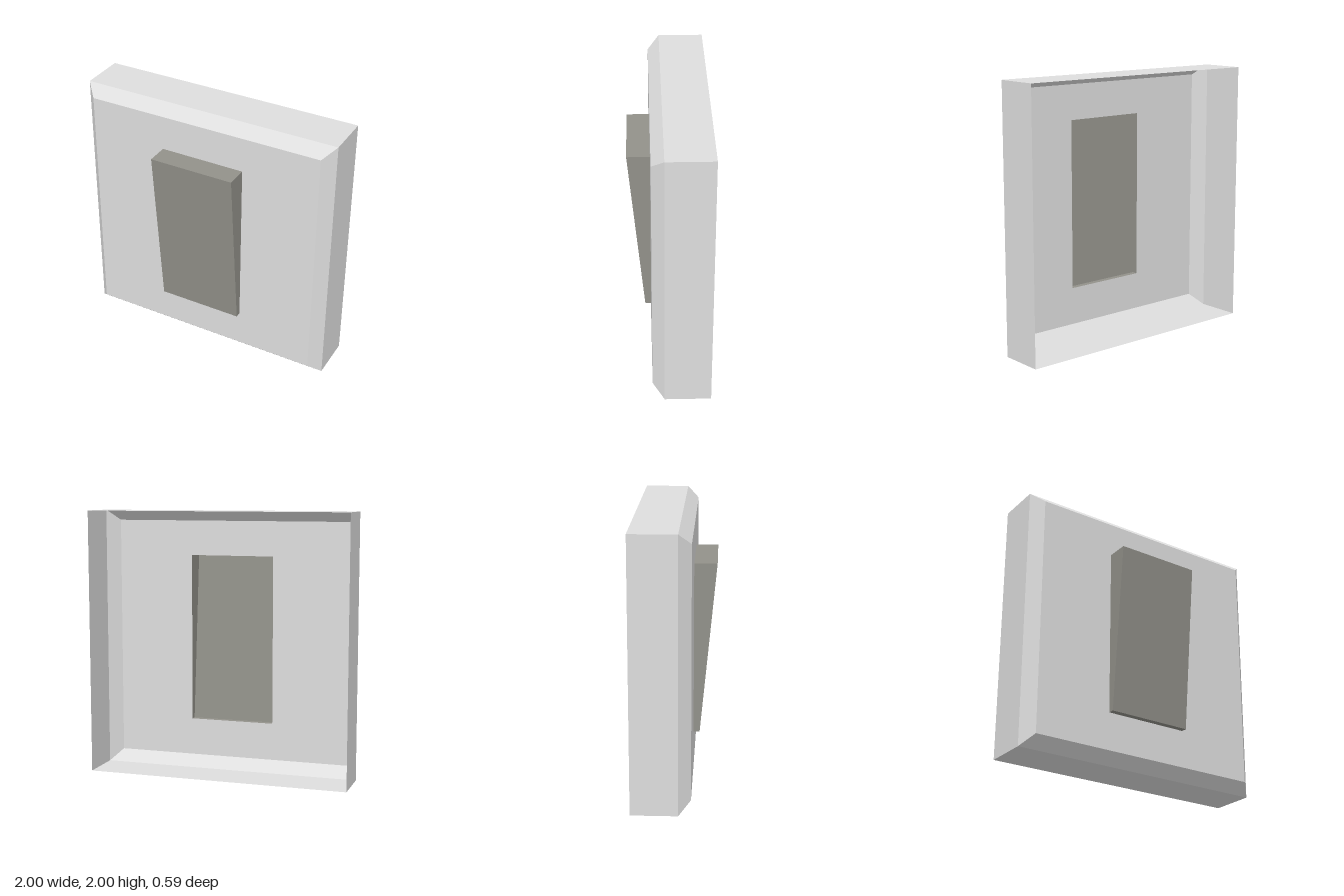
import * as THREE from 'three';

// Rectangular cross-section, anticlockwise from the front; zTop lets it lean
function ring(halfW, y0, y1, zBottom, zTop = zBottom) {
  return [
    [-halfW, y0, zBottom], [halfW, y0, zBottom],
    [halfW, y1, zTop], [-halfW, y1, zTop],
  ];
}

// Flat-faced skin between successive rings, with an optional front cap
function loft(rings, cap) {
  const pos = [];
  const quad = (a, b, c, d) => pos.push(...a, ...b, ...c, ...a, ...c, ...d);
  for (let r = 0; r < rings.length - 1; r++) {
    for (let i = 0; i < 4; i++) {
      const j = (i + 1) % 4;
      quad(rings[r][i], rings[r][j], rings[r + 1][j], rings[r + 1][i]);
    }
  }
  if (cap) quad(...rings[rings.length - 1]);
  const geo = new THREE.BufferGeometry();
  geo.setAttribute('position', new THREE.Float32BufferAttribute(pos, 3));
  geo.computeVertexNormals();
  return geo;
}

export function createModel() {
  const plateGrey = new THREE.MeshStandardMaterial({ color: 0xdedede, side: THREE.DoubleSide });
  plateGrey.name = 'light grey';
  const rockerGrey = new THREE.MeshStandardMaterial({ color: 0x92918a, side: THREE.DoubleSide });
  rockerGrey.name = 'warm grey';

  const group = new THREE.Group();
  group.name = 'wallSwitch';
  const add = (name, geo, mat) => {
    const mesh = new THREE.Mesh(geo, mat);
    mesh.name = name;
    group.add(mesh);
  };

  // Open-backed housing: side walls, bevel, and front face with an opening
  const opening = ring(0.325, 0.37, 1.655, 0.13);
  add('housing', loft([
    ring(1, 0, 2, -0.297),
    ring(1, 0, 2, 0.043),
    ring(0.915, 0.085, 1.92, 0.13),
    opening,
  ], false), plateGrey);

  // Tilted hollow rocker, standing out furthest at the top
  add('rocker', loft([opening, ring(0.325, 0.37, 1.655, 0.175, 0.297)], true), rockerGrey);

  return group;
}
